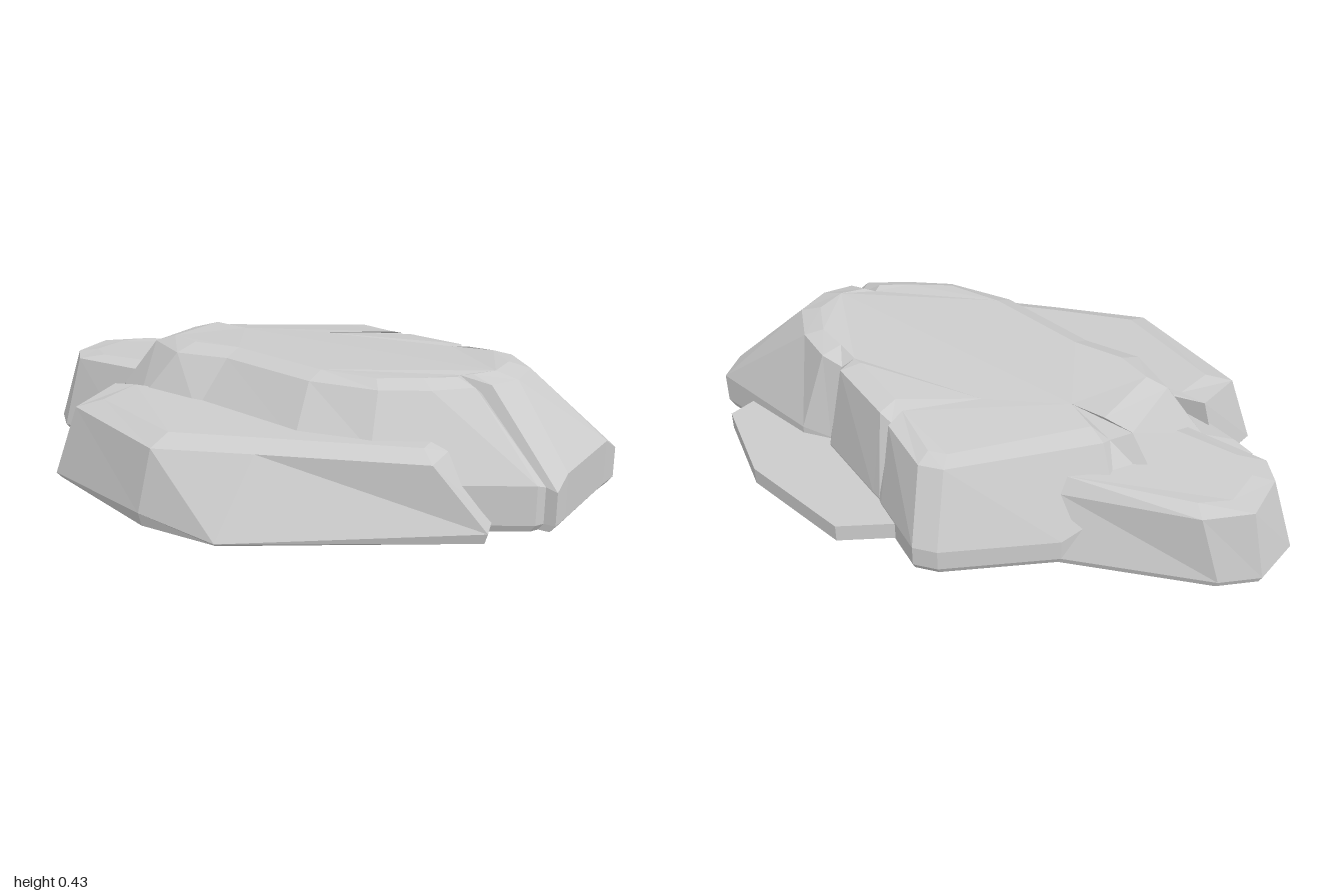
import * as THREE from 'three';

const material = new THREE.MeshStandardMaterial({ color: 0xcccccc, flatShading: true });

// Joins rings of [x, y, z] points, listed top ring first, and caps both ends.
// Points run clockwise as seen from above: back, left side (+x), front, right side.
function rock(name, rings) {
  const out = [];
  const tri = (a, b, c) => out.push(...a, ...b, ...c);
  const n = rings[0].length;
  for (let r = 0; r < rings.length - 1; r++) {
    const up = rings[r], low = rings[r + 1];
    for (let i = 0; i < n; i++) {
      const j = (i + 1) % n;
      tri(low[i], up[i], up[j]);
      tri(low[i], up[j], low[j]);
    }
  }
  const cap = (ring, facesUp) => {
    const flat = ring.map(p => new THREE.Vector2(p[0], p[2]));
    for (const [i, j, k] of THREE.ShapeUtils.triangulateShape(flat, [])) {
      const a = ring[i], b = ring[j], c = ring[k];
      const ny = (b[2] - a[2]) * (c[0] - a[0]) - (b[0] - a[0]) * (c[2] - a[2]);
      if ((ny > 0) === facesUp) tri(a, b, c); else tri(a, c, b);
    }
  };
  cap(rings[0], true);
  cap(rings[rings.length - 1], false);
  const geo = new THREE.BufferGeometry();
  geo.setAttribute('position', new THREE.Float32BufferAttribute(out, 3));
  geo.computeVertexNormals();
  const mesh = new THREE.Mesh(geo, material);
  mesh.name = name;
  return mesh;
}

// A copy of a ring at one height, scaled about the point (cx, cz).
const footprint = (ring, y, s = 1, cx = 0, cz = 0) =>
  ring.map(p => [cx + (p[0] - cx) * s, y, cz + (p[2] - cz) * s]);

// Central boulder: sloping plateau, bevelled rim, shoulder and foot.
// Points set inward from their neighbours are cracks.
function mainBoulder() {
  const plateau = [
    [-0.355, 0.397, -0.32], [0.05, 0.362, -0.5], [0.11, 0.365, -0.5],
    [0.23, 0.386, -0.355], [0.0, 0.4, -0.26], [0.265, 0.392, -0.31],
    [0.42, 0.41, -0.17], [0.45, 0.405, -0.145], [0.51, 0.42, -0.1],
    [0.59, 0.43, -0.04], [0.64, 0.433, 0.08], [0.6, 0.433, 0.18],
    [0.53, 0.433, 0.225], [0.49, 0.428, 0.225], [0.485, 0.433, 0.26],
    [0.38, 0.433, 0.285], [0.24, 0.433, 0.31], [0.06, 0.433, 0.25],
    [-0.24, 0.433, 0.06], [-0.4, 0.43, 0.01], [-0.49, 0.425, -0.07],
    [-0.39, 0.413, -0.29], [-0.28, 0.41, -0.24]];
  const rim = [
    [-0.4, 0.375, -0.365], [0.05, 0.342, -0.55], [0.13, 0.342, -0.545],
    [0.26, 0.365, -0.41], [0.26, 0.352, -0.38], [0.3, 0.375, -0.365],
    [0.48, 0.395, -0.205], [0.49, 0.375, -0.16], [0.56, 0.4, -0.145],
    [0.65, 0.412, -0.06], [0.71, 0.413, 0.08], [0.67, 0.413, 0.2],
    [0.59, 0.413, 0.265], [0.56, 0.385, 0.265], [0.54, 0.413, 0.295],
    [0.41, 0.41, 0.335], [0.25, 0.41, 0.355], [0.03, 0.41, 0.3],
    [-0.27, 0.41, 0.11], [-0.45, 0.405, 0.06], [-0.56, 0.4, -0.08],
    [-0.48, 0.385, -0.31], [-0.415, 0.362, -0.33]];
  const shoulder = [
    [-0.31, 0.1, -0.53], [0.05, 0.1, -0.655], [0.13, 0.1, -0.65],
    [0.28, 0.1, -0.475], [0.292, 0.1, -0.455], [0.32, 0.1, -0.43],
    [0.53, 0.1, -0.23], [0.54, 0.1, -0.195], [0.64, 0.12, -0.185],
    [1.0, 0.135, 0.015], [0.965, 0.18, 0.08], [0.83, 0.18, 0.37],
    [0.8, 0.14, 0.43], [0.765, 0.15, 0.415], [0.74, 0.16, 0.435],
    [0.5, 0.16, 0.465], [0.24, 0.25, 0.45], [0.0, 0.25, 0.41],
    [-0.36, 0.25, 0.19], [-0.58, 0.24, 0.09], [-0.68, 0.24, -0.08],
    [-0.59, 0.2, -0.36], [-0.46, 0.2, -0.45]];
  const base = footprint(shoulder, 0.03);
  return rock('mainBoulder', [plateau, rim, shoulder, base, footprint(base, 0.006, 0.98)]);
}

// Lower slab leaning out along the front
function frontSlab() {
  const top = [
    [-0.6, 0.285, 0.06], [0.0, 0.285, 0.2], [0.42, 0.275, 0.4],
    [0.4, 0.275, 0.465], [-0.1, 0.28, 0.465], [-0.38, 0.28, 0.46], [-0.67, 0.275, 0.19]];
  const edge = [
    [-0.68, 0.275, 0.03], [0.0, 0.27, 0.15], [0.47, 0.25, 0.42],
    [0.43, 0.245, 0.525], [-0.1, 0.25, 0.528], [-0.42, 0.25, 0.528], [-0.76, 0.25, 0.21]];
  const base = [
    [-0.74, 0.03, 0.04], [0.0, 0.03, 0.1], [0.61, 0.04, 0.44],
    [0.6, 0.035, 0.525], [-0.2, 0.01, 0.66], [-0.46, 0.045, 0.555], [-0.84, 0.015, 0.22]];
  return rock('frontSlab', [top, edge, base, footprint(base, 0, 0.985)]);
}

// Boulder jutting out at the back on the model's right
function sideBoulder() {
  const top = [
    [-0.8, 0.28, -0.43], [-0.7, 0.285, -0.47], [-0.3, 0.29, -0.44],
    [-0.3, 0.3, -0.2], [-0.55, 0.3, -0.14], [-0.8, 0.29, -0.23], [-0.85, 0.285, -0.31]];
  const edge = [
    [-0.87, 0.27, -0.465], [-0.72, 0.26, -0.515], [-0.29, 0.24, -0.47],
    [-0.3, 0.28, -0.15], [-0.61, 0.28, -0.1], [-0.89, 0.275, -0.22], [-0.92, 0.275, -0.31]];
  const base = [
    [-0.92, 0.03, -0.48], [-0.79, 0.03, -0.53], [-0.29, 0.03, -0.53],
    [-0.3, 0.02, -0.1], [-0.69, 0.02, -0.09], [-0.955, 0.02, -0.21], [-1.0, 0.02, -0.31]];
  return rock('sideBoulder', [top, edge, base, footprint(base, 0.008, 0.97, -0.6, -0.3)]);
}

// Thin ledge at the back on the model's left
function backLedge() {
  const top = [
    [0.2, 0.095, -0.55], [0.39, 0.095, -0.605], [0.735, 0.095, -0.4],
    [0.92, 0.095, -0.14], [0.87, 0.095, -0.05], [0.3, 0.095, -0.1]];
  return rock('backLedge', [top, footprint(top, 0.035), footprint(top, 0.02, 0.9, 0.5, -0.2)]);
}

// Small wedge between the side boulder and the front slab
function sideWedge() {
  const top = [
    [-0.6, 0.27, -0.12], [-0.4, 0.3, -0.05], [-0.4, 0.3, 0.08],
    [-0.64, 0.22, 0.05], [-0.79, 0.15, 0.02], [-0.78, 0.16, -0.03]];
  const base = [
    [-0.66, 0.1, -0.13], [-0.4, 0.1, -0.1], [-0.4, 0.1, 0.12],
    [-0.72, 0.1, 0.07], [-0.855, 0.11, 0.01], [-0.83, 0.11, -0.02]];
  return rock('sideWedge', [top, base, footprint(base, 0.012, 0.97, -0.6, 0)]);
}

export function createModel() {
  const group = new THREE.Group();
  group.name = 'rockFormation';
  group.add(mainBoulder(), frontSlab(), sideBoulder(), backLedge(), sideWedge());
  return group;
}
